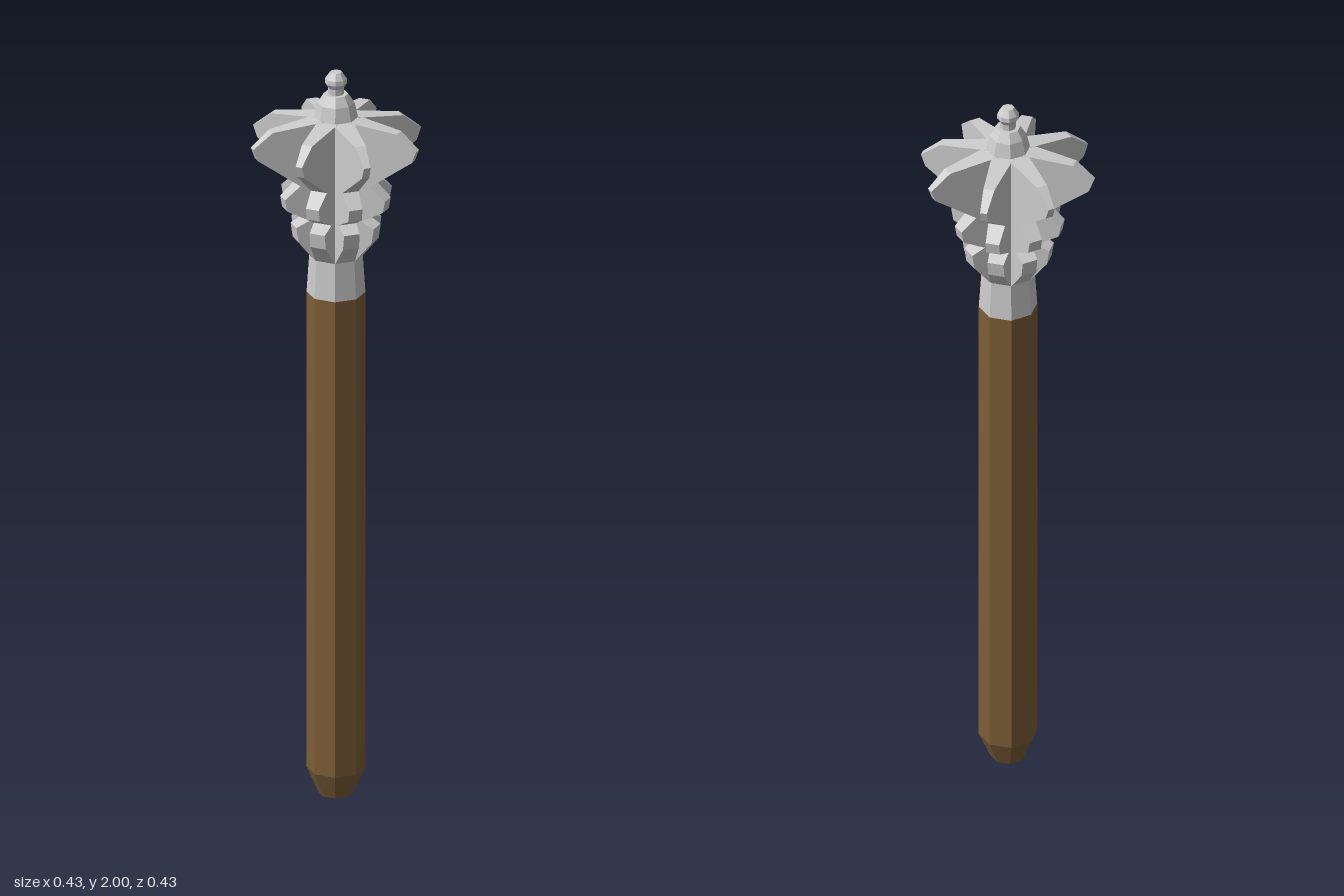
import * as THREE from 'three';

const metal = new THREE.MeshStandardMaterial({ color: 0xcccccc, flatShading: true });
const wood = new THREE.MeshStandardMaterial({ color: 0x7d5e37, flatShading: true });

// Eight-sided turned part from [radius, height] pairs, bottom to top
function turned(name, profile, material) {
  const points = profile.map(([r, y]) => new THREE.Vector2(r, y));
  const mesh = new THREE.Mesh(new THREE.LatheGeometry(points, 8), material);
  mesh.name = name;
  return mesh;
}

// Flange outline in [radius, height], extruded and then thinned towards its tip
function flangeGeometry() {
  const outline = [
    [0.03, 1.495], [0.067, 1.495], [0.111, 1.55], [0.117, 1.59], [0.082, 1.607],
    [0.141, 1.638], [0.147, 1.67], [0.106, 1.705], [0.135, 1.722], [0.219, 1.786],
    [0.231, 1.818], [0.179, 1.86], [0.05, 1.876], [0.03, 1.876],
  ];
  // the waist above the middle lobe runs straight up into the large lobe
  outline.splice(8, 1);
  const shape = new THREE.Shape(outline.map(([r, y]) => new THREE.Vector2(r, y)));
  const geometry = new THREE.ExtrudeGeometry(shape, { depth: 1, bevelEnabled: false });
  const pos = geometry.attributes.position;
  for (let i = 0; i < pos.count; i++) {
    const halfWidth = 0.034 - 0.108 * pos.getX(i);
    pos.setZ(i, (pos.getZ(i) - 0.5) * 2 * halfWidth);
  }
  geometry.computeVertexNormals();
  return geometry;
}

export function createModel() {
  const model = new THREE.Group();
  model.name = 'flangedMace';

  // Shaft with a chamfered butt
  model.add(turned('handle', [[0, 0], [0.045, 0], [0.076, 0.07], [0.076, 1.39], [0, 1.39]], wood));

  // Socket, hidden core and shoulder cap of the head
  model.add(turned('socket', [[0, 1.39], [0.076, 1.39], [0.069, 1.495], [0, 1.495]], metal));
  model.add(turned('headCore', [[0.069, 1.495], [0.057, 1.876]], metal));
  model.add(turned('cap', [[0.057, 1.876], [0.048, 1.915], [0.032, 1.94], [0, 1.94]], metal));

  // Small knob on top
  model.add(turned('finial', [
    [0.021, 1.94], [0.021, 1.957], [0.029, 1.97], [0.028, 1.982], [0.016, 2], [0, 2],
  ], metal));

  // Eight flanges, set between the corners of the core
  const flanges = new THREE.Group();
  flanges.name = 'flanges';
  const geometry = flangeGeometry();
  for (let i = 0; i < 8; i++) {
    const flange = new THREE.Mesh(geometry, metal);
    flange.name = `flange${i + 1}`;
    flange.rotation.y = (i + 0.5) * Math.PI / 4;
    flanges.add(flange);
  }
  model.add(flanges);

  return model;
}
